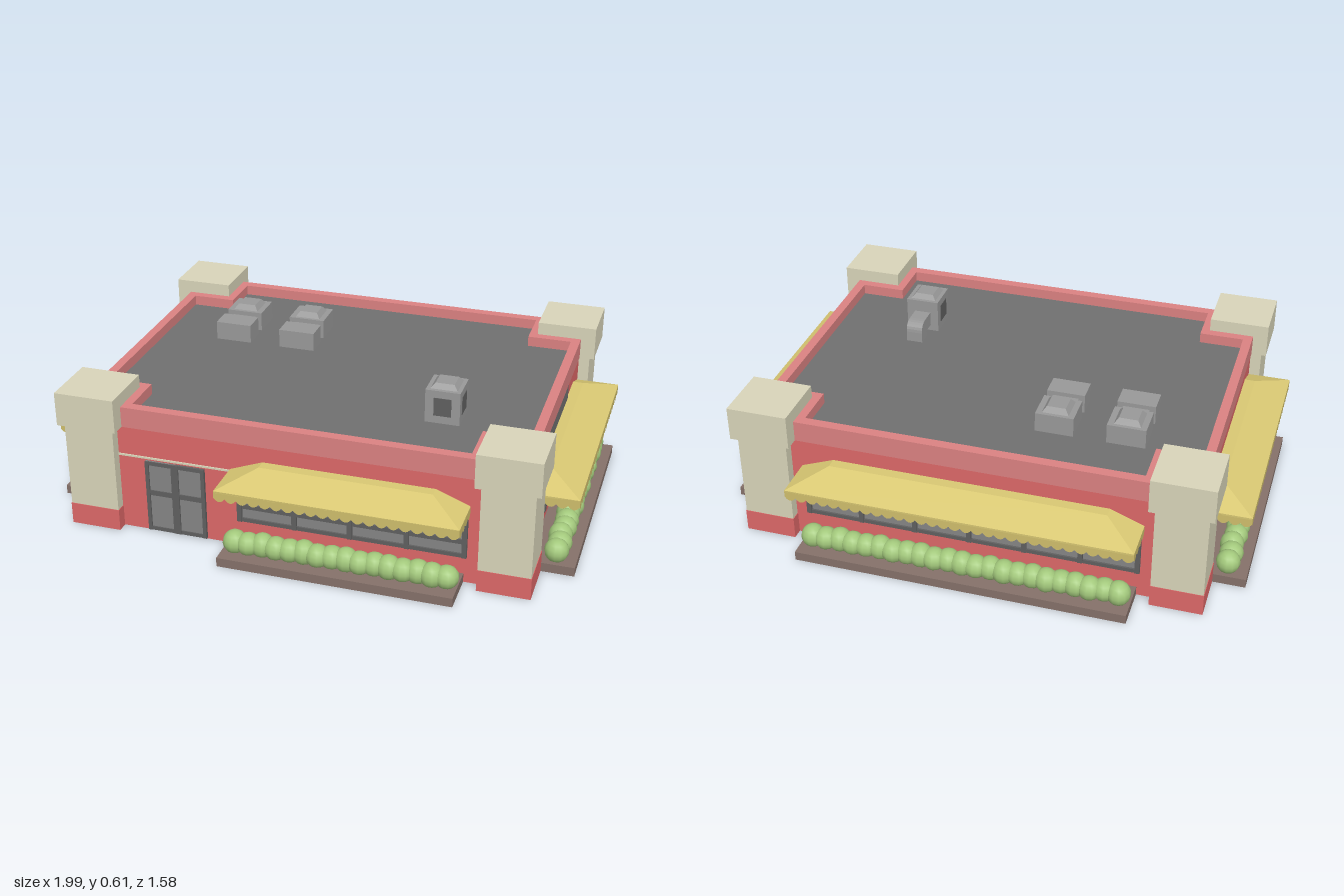
import * as THREE from 'three';
import { ConvexGeometry } from 'three/addons/geometries/ConvexGeometry.js';

const mat = (color, side = THREE.FrontSide) =>
  new THREE.MeshStandardMaterial({ color, side, flatShading: true });
const red = mat(0xdd6868), pink = mat(0xdb8282), cream = mat(0xd9d5ba), yellow = mat(0xd9c873);
const valanceMat = mat(0xd0bf6c, THREE.DoubleSide), brown = mat(0x85716a), roofGrey = mat(0x707070);
const glass = mat(0x858585), frame = mat(0x606060), metal = mat(0x999999);
const green = new THREE.MeshStandardMaterial({ color: 0xa3c97c });

function add(parent, name, geometry, material, x = 0, y = 0, z = 0) {
  const mesh = new THREE.Mesh(geometry, material);
  mesh.name = name;
  mesh.position.set(x, y, z);
  parent.add(mesh);
  return mesh;
}

// Box given by its minimum and maximum on each axis
function box(parent, name, material, x0, x1, y0, y1, z0, z1) {
  return add(parent, name, new THREE.BoxGeometry(x1 - x0, y1 - y0, z1 - z0), material,
    (x0 + x1) / 2, (y0 + y1) / 2, (z0 + z1) / 2);
}

function group(parent, name) {
  const g = new THREE.Group();
  g.name = name;
  parent.add(g);
  return g;
}

// Rectangle with its four corners notched out
function plan(X, Z, nx, nz) {
  return [[X, -nz], [X, nz], [nx, nz], [nx, Z], [-nx, Z], [-nx, nz], [-X, nz], [-X, -nz],
    [-nx, -nz], [-nx, -Z], [nx, -Z], [nx, -nz]].map(([x, z]) => new THREE.Vector2(x, z));
}

function slab(parent, name, material, outline, y0, y1, hole) {
  const shape = new THREE.Shape(outline);
  if (hole) shape.holes.push(new THREE.Path(hole));
  const geo = new THREE.ExtrudeGeometry(shape, { depth: y1 - y0, bevelEnabled: false });
  return add(parent, name, geo.rotateX(-Math.PI / 2), material, 0, y0, 0);
}

// Strip with a scalloped lower edge
function valance(width) {
  const n = Math.max(2, Math.round(width / 0.042)), step = width / n;
  const s = new THREE.Shape();
  s.moveTo(-width / 2, 0.31);
  s.lineTo(-width / 2, 0.285);
  for (let i = 0; i < n; i++) {
    const x = -width / 2 + i * step;
    s.quadraticCurveTo(x + step / 2, 0.257, x + step, 0.285);
  }
  s.lineTo(width / 2, 0.31);
  return new THREE.ShapeGeometry(s, 5);
}

// Awning with hipped ends, its back on z = 0
function awning(parent, x0, x1) {
  const g = group(parent, 'awning'), depth = 0.165, cx = (x0 + x1) / 2;
  const pts = [];
  for (const [a, b, y, d] of [[x0, x1, 0.305, depth], [x0, x1, 0.312, depth],
    [x0 + 0.125, x1 - 0.125, 0.36, 0.04]]) {
    for (const x of [a, b]) for (const z of [0, d]) pts.push(new THREE.Vector3(x, y, z));
  }
  add(g, 'awningCanopy', new ConvexGeometry(pts), yellow);
  add(g, 'awningFrontValance', valance(x1 - x0), valanceMat, cx, 0, depth);
  for (const x of [x0, x1]) {
    add(g, 'awningEndValance', valance(depth), valanceMat, x, 0, depth / 2).rotation.y = Math.PI / 2;
  }
}

// Row of framed panes, outward side facing +z
function windows(parent, x0, x1, panes) {
  const g = group(parent, 'windows');
  box(g, 'glass', glass, x0, x1, 0.105, 0.305, -0.01, 0.003);
  for (const [a, b] of [[0.105, 0.12], [0.16, 0.178], [0.275, 0.29]]) {
    box(g, 'windowRail', frame, x0, x1, a, b, 0, 0.01);
  }
  for (let i = 0; i <= panes; i++) {
    const x = x0 + 0.009 + (x1 - x0 - 0.018) * i / panes;
    box(g, 'mullion', frame, x - 0.009, x + 0.009, 0.105, 0.29, 0, 0.013);
  }
}

function hedge(parent, x0, x1) {
  const g = group(parent, 'hedge'), n = Math.round((x1 - x0) / 0.055);
  const r = 0.045, geo = new THREE.SphereGeometry(r, 12, 8);
  for (let i = 0; i < n; i++) {
    const x = x0 + r + (x1 - x0 - 2 * r) * i / (n - 1);
    const bush = add(g, 'bush', geo, green, x, 0.07, 0.09 + 0.004 * Math.sin(i * 2.3));
    bush.rotation.y = i * 1.7;
    bush.scale.y = 1 + 0.05 * Math.sin(i * 4.1);
  }
}

// Planter, hedge, windows and awning of one side
function facade(parent, name, wall, angle, f) {
  const turn = group(parent, name);
  turn.rotation.y = angle;
  const g = group(turn, name + 'Parts');
  g.position.z = wall;
  box(g, 'planter', brown, f.base[0], f.base[1], 0, 0.035, 0, 0.165);
  hedge(g, f.hedge[0], f.hedge[1]);
  windows(g, f.glass[0], f.glass[1], f.panes);
  awning(g, f.awning[0], f.awning[1]);
}

// Square tapered cap on a roof unit
function ventCap(parent, x, y, z, h) {
  const geo = new THREE.CylinderGeometry(0.035 * Math.SQRT2, 0.05 * Math.SQRT2, h, 4);
  add(parent, 'ventCap', geo.rotateY(Math.PI / 4), metal, x, y + h / 2, z);
}

export function createModel() {
  const model = new THREE.Group();
  model.name = 'restaurant';

  // Walls, hollow underneath
  const v = (x, z) => new THREE.Vector2(x, z);
  slab(model, 'walls', red, plan(0.83, 0.625, 0.7, 0.5), 0, 0.42,
    [v(-0.42, -0.2), v(-0.42, 0.2), v(0.42, 0.2), v(0.42, -0.2)]);
  slab(model, 'parapet', pink, plan(0.835, 0.628, 0.67, 0.455), 0.42, 0.5,
    plan(0.8, 0.59, 0.63, 0.42));
  slab(model, 'roof', roofGrey, plan(0.81, 0.6, 0.64, 0.43), 0.415, 0.46);

  // Corner pillars
  for (const sx of [-1, 1]) for (const sz of [-1, 1]) {
    const p = group(model, 'pillar');
    p.position.set(sx * 0.777, 0, sz * 0.57);
    box(p, 'pillarBase', red, -0.097, 0.097, 0, 0.085, -0.097, 0.097);
    box(p, 'pillarShaft', cream, -0.095, 0.095, 0.085, 0.42, -0.095, 0.095);
    box(p, 'pillarCap', cream, -0.115, 0.115, 0.42, 0.55, -0.115, 0.115);
  }

  // Four sides
  facade(model, 'front', 0.625, 0, {
    base: [-0.245, 0.625], hedge: [-0.245, 0.63], glass: [-0.22, 0.635], awning: [-0.245, 0.64], panes: 4 });
  facade(model, 'back', 0.625, Math.PI, {
    base: [-0.625, 0.625], hedge: [-0.625, 0.625], glass: [-0.635, 0.635], awning: [-0.642, 0.642], panes: 6 });
  for (const s of [-1, 1]) {
    facade(model, s > 0 ? 'leftSide' : 'rightSide', 0.83, s * Math.PI / 2, {
      base: [-0.477, 0.477], hedge: [-0.477, 0.477], glass: [-0.477, 0.477], awning: [-0.478, 0.478], panes: 4 });
  }

  // Upper side panel and the ledge over the entrance
  box(model, 'sidePanel', roofGrey, 0.82, 0.834, 0.32, 0.42, -0.205, 0.205);
  box(model, 'entranceLedge', cream, -0.69, -0.245, 0.302, 0.309, 0.62, 0.63);

  // Double door
  const door = group(model, 'door');
  box(door, 'doorGlass', glass, -0.575, -0.345, 0.005, 0.295, 0.61, 0.631);
  for (const x of [-0.569, -0.467, -0.453, -0.351]) {
    box(door, 'doorStile', frame, x - 0.007, x + 0.007, 0.005, 0.295, 0.62, 0.637);
  }
  for (const [a, b] of [[0.005, 0.02], [0.155, 0.175], [0.28, 0.295]]) {
    box(door, 'doorRail', frame, -0.575, -0.345, a, b, 0.62, 0.635);
  }

  // Pair of low roof units, each with a joined box
  for (const x of [-0.511, -0.245]) {
    const u = group(model, 'roofUnit');
    u.position.x = x;
    box(u, 'unitBody', metal, -0.072, 0.072, 0.45, 0.535, -0.375, -0.248);
    ventCap(u, 0, 0.535, -0.311, 0.02);
    box(u, 'unitDuct', metal, -0.05, 0.05, 0.45, 0.517, -0.25, -0.2);
    box(u, 'unitBox', metal, -0.072, 0.072, 0.45, 0.533, -0.21, -0.12);
  }

  // Tall roof unit with louvres and a bent duct
  const tall = group(model, 'tallRoofUnit');
  box(tall, 'unitBody', metal, 0.398, 0.527, 0.45, 0.588, 0.206, 0.335);
  ventCap(tall, 0.4625, 0.588, 0.27, 0.018);
  box(tall, 'sideLouvre', frame, 0.396, 0.529, 0.49, 0.56, 0.237, 0.304);
  box(tall, 'frontLouvre', frame, 0.43, 0.495, 0.49, 0.56, 0.3, 0.337);
  const bend = new THREE.Shape();
  bend.moveTo(0, 0.54);
  bend.lineTo(0.06, 0.54);
  bend.quadraticCurveTo(0.105, 0.54, 0.105, 0.5);
  bend.lineTo(0.105, 0.45);
  bend.lineTo(0.05, 0.45);
  bend.lineTo(0.05, 0.485);
  bend.lineTo(0, 0.485);
  const ductGeo = new THREE.ExtrudeGeometry(bend, { depth: 0.064, bevelEnabled: false, curveSegments: 6 });
  add(tall, 'bentDuct', ductGeo.rotateY(Math.PI / 2), metal, 0.43, 0, 0.207);

  return model;
}
